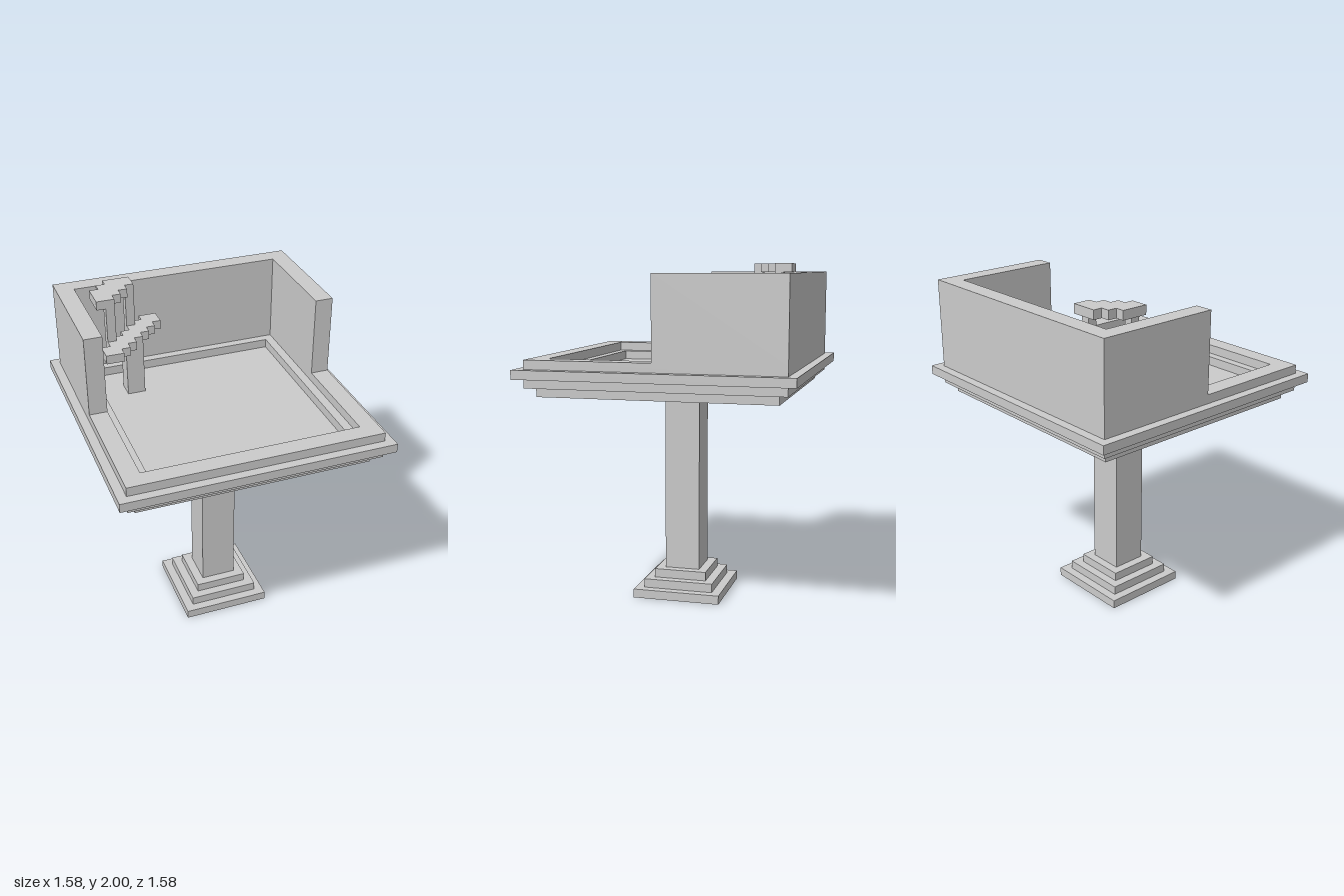
import * as THREE from 'three';

const U = 2 / 38; // one block of the grid
const mat = new THREE.MeshStandardMaterial({ color: 0xcccccc, flatShading: true });

export function createModel() {
  const model = new THREE.Group();

  const extrude = (name, shape, y0, y1) => {
    const geo = new THREE.ExtrudeGeometry(shape, { depth: (y1 - y0) * U, bevelEnabled: false });
    geo.rotateX(Math.PI / 2); // shape y becomes z, depth goes down
    geo.translate(0, y1 * U, 0);
    const mesh = new THREE.Mesh(geo, mat);
    mesh.name = name;
    model.add(mesh);
  };
  const polygon = (pts) => new THREE.Shape(pts.map(([x, z]) => new THREE.Vector2(x * U, z * U)));
  const square = (h) => polygon([[-h, -h], [h, -h], [h, h], [-h, h]]);
  const box = (name, x0, x1, y0, y1, z0, z1) =>
    extrude(name, polygon([[x0, z0], [x1, z0], [x1, z1], [x0, z1]]), y0, y1);
  const ring = (name, outer, inner, y0, y1) => {
    const s = square(outer);
    s.holes.push(square(inner));
    extrude(name, s, y0, y1);
  };

  // Stepped foot and column
  [5, 4, 3].forEach((h, i) => extrude('footStep', square(h), i, i + 1));
  extrude('column', square(2), 3, 24);

  // Basin: two solid layers, then two rings around the sunken floor
  extrude('basinUnderside', square(13), 24, 25);
  extrude('basinFloor', square(14), 25, 26);
  ring('basinLip', 15, 11, 26, 27);
  ring('basinRim', 14, 12, 27, 28);

  // Splash wall around the back half
  extrude('splashWall', polygon([
    [-14, -14], [14, -14], [14, 0], [12, 0], [12, -12], [-12, -12], [-12, 0], [-14, 0],
  ]), 28, 37);

  // Stepped diagonal bar across the back corner: cells lo..hi whose x + z lies in a band
  const diagonalBar = (name, lo, hi, minSum, maxSum, y) => {
    const front = [], back = [];
    for (let z = lo; z <= hi; z++) {
      const a = Math.max(lo, minSum - z), b = Math.min(hi, maxSum - z) + 1;
      front.push([b, z], [b, z + 1]);
      back.unshift([a, z + 1], [a, z]);
    }
    const pts = [...front, ...back].filter((p, i, all) => {
      const q = all[(i + 1) % all.length];
      return p[0] !== q[0] || p[1] !== q[1];
    });
    extrude(name, polygon(pts), y, y + 1);
  };

  // Corner fixture: post, wide bar, two uprights and the upper bar
  box('fixturePost', -8, -6, 26, 32, -8, -6);
  diagonalBar('lowerBar', -11, -4, -16, -14, 32);
  box('rightUpright', -10, -9, 32, 37, -7, -6);
  box('leftUpright', -7, -6, 32, 37, -10, -9);
  diagonalBar('upperBar', -11, -7, -20, -17, 37);

  return model;
}
